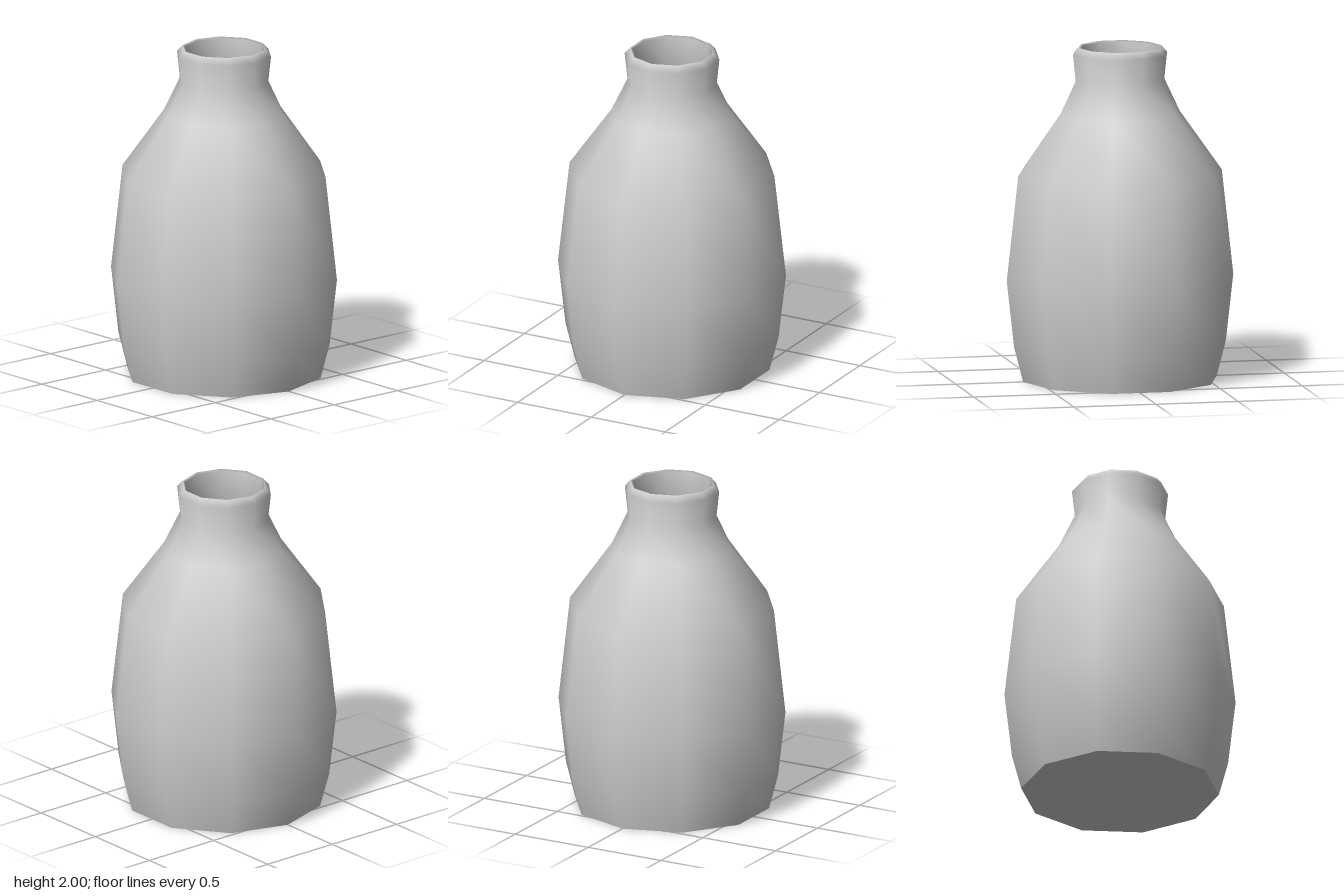
import * as THREE from 'three';

const SIDES = 10;

export function createModel() {
  const group = new THREE.Group();
  group.name = 'bottle';
  const material = new THREE.MeshStandardMaterial({ color: 0xcccccc });

  const add = (name, geometry) => {
    const mesh = new THREE.Mesh(geometry, material);
    mesh.name = name;
    group.add(mesh);
    return mesh;
  };

  // A ten-sided turned wall with corners on the x axis
  const turned = (profile) => new THREE.LatheGeometry(
    profile.map(([r, y]) => new THREE.Vector2(r, y)), SIDES, Math.PI / 2);

  // Flat ten-sided disc, facing up or down
  const disc = (name, radius, y, up) => {
    const geometry = new THREE.CircleGeometry(radius, SIDES);
    geometry.rotateX(up ? -Math.PI / 2 : Math.PI / 2);
    add(name, geometry).position.y = y;
  };

  // Outer wall, bevelled lip and hollow inside as one smooth shell
  add('shell', turned([
    [0.59, 0], [0.645, 0.21], [0.69, 0.61], [0.62, 1.24],
    [0.365, 1.6], [0.27, 1.8], [0.287, 1.96], [0.252, 2],
    [0.24, 1.99], [0.234, 1.8], [0.33, 1.58], [0.585, 1.22],
    [0.655, 0.61], [0.61, 0.21], [0.56, 0.04],
  ]));

  disc('base', 0.59, 0, false);
  disc('innerFloor', 0.56, 0.04, true);

  return group;
}
